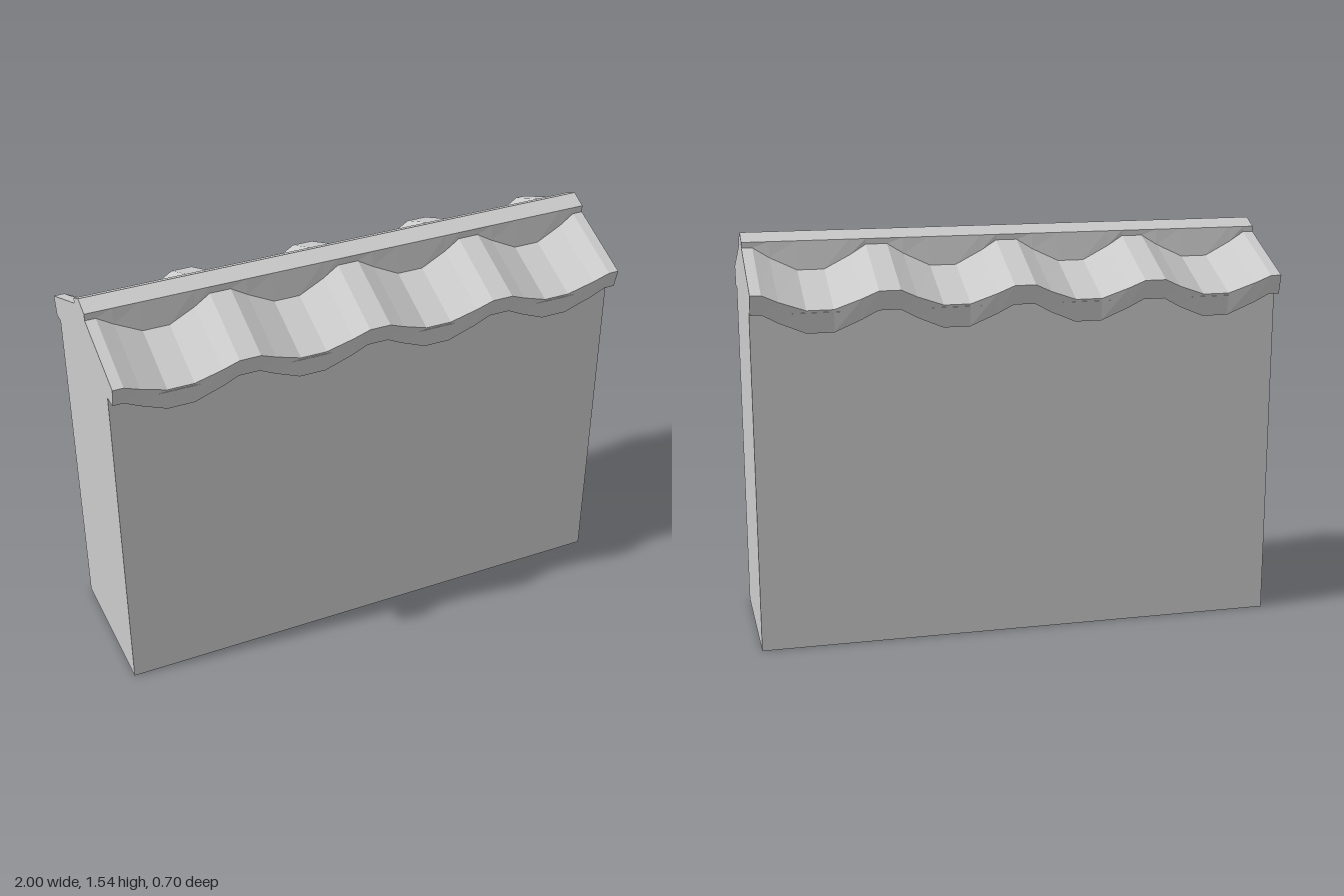
import * as THREE from 'three';

const mat = new THREE.MeshStandardMaterial({ color: 0xcccccc, flatShading: true });
const openMat = new THREE.MeshStandardMaterial({ color: 0xcccccc, flatShading: true, side: THREE.DoubleSide });

const SOFFIT = 1.287, FRONT = 0.28, BACK = -0.29;

// Roof section [z, y] from front fascia bottom over the ridge to the back; d = 0 on a crest, 1 in a trough
function roofSection(d) {
  return [
    [0.333 - 0.018 * d, SOFFIT - 0.077 * d],
    [0.352 - 0.025 * d, 1.36 - 0.065 * d],
    [0.072 + 0.014 * d, 1.482 - 0.082 * d],
    [0.072, 1.508],
    [0.01, 1.537],
    [-0.052, 1.508],
    [-0.052 - 0.017 * d, 1.487 - 0.085 * d],
    [-0.353 + 0.025 * d, 1.36 - 0.065 * d],
    [-0.336 + 0.018 * d, SOFFIT - 0.077 * d],
  ];
}

// Stations [x, d] along the wall: one wave every half unit
function stations() {
  const wave = [[0.04, 0], [0.1, 0.42], [0.2, 1], [0.3, 1], [0.4, 0.44], [0.46, 0]];
  const list = [[-1, 0]];
  for (let i = 0; i < 4; i++) for (const [x, d] of wave) list.push([-1 + i * 0.5 + x, d]);
  list.push([1, 0]);
  return list;
}

// Strip surface through the sections, taking section points from..to
function loft(from, to) {
  const rows = stations().map(([x, d]) => roofSection(d).slice(from, to + 1).map(([z, y]) => [x, y, z]));
  const n = to - from + 1, index = [];
  for (let i = 0; i < rows.length - 1; i++) {
    for (let j = 0; j < n - 1; j++) {
      const a = i * n + j, b = a + n;
      index.push(a, b, b + 1, a, b + 1, a + 1);
    }
  }
  const geo = new THREE.BufferGeometry();
  geo.setAttribute('position', new THREE.Float32BufferAttribute(rows.flat(2), 3));
  geo.setIndex(index);
  const flat = geo.toNonIndexed();
  flat.computeVertexNormals();
  return flat;
}

export function createModel() {
  const group = new THREE.Group();
  const add = (name, geo, material = mat) => {
    const mesh = new THREE.Mesh(geo, material);
    mesh.name = name;
    group.add(mesh);
    return mesh;
  };

  // Wall block
  add('wall', new THREE.BoxGeometry(2, SOFFIT, FRONT - BACK))
    .position.set(0, SOFFIT / 2, (FRONT + BACK) / 2);

  // Hanging wavy fascias, tiled slopes and straight ridge cap
  add('frontFascia', loft(0, 1), openMat);
  add('frontTiles', loft(1, 2), openMat);
  add('ridgeCap', loft(2, 6), openMat);
  add('backTiles', loft(6, 7), openMat);
  add('backFascia', loft(7, 8), openMat);

  // Flat soffits under the eaves
  for (const [name, inner, outer] of [['frontSoffit', FRONT, 0.328], ['backSoffit', BACK, -0.331]]) {
    const soffit = add(name, new THREE.PlaneGeometry(2, Math.abs(outer - inner)), openMat);
    soffit.rotation.x = Math.PI / 2;
    soffit.position.set(0, SOFFIT, (inner + outer) / 2);
  }

  // Gable ends
  const gable = new THREE.Shape(roofSection(0).map(([z, y]) => new THREE.Vector2(-z, y)));
  for (const [name, x] of [['leftGable', 1], ['rightGable', -1]]) {
    const end = add(name, new THREE.ShapeGeometry(gable), openMat);
    end.rotation.y = Math.PI / 2;
    end.position.x = x;
  }
  return group;
}
